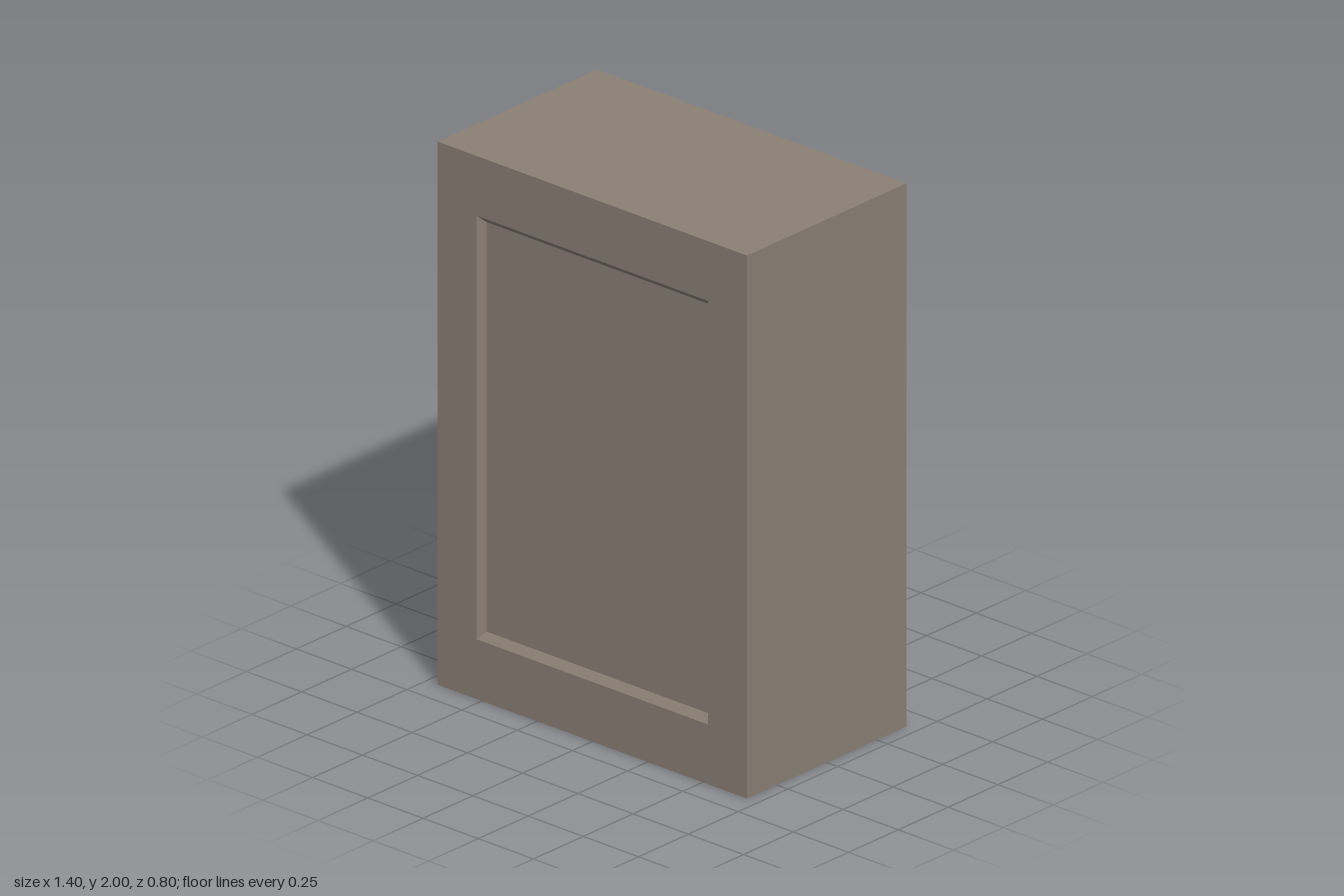
import * as THREE from 'three';

// Rectangle corners, counter-clockwise seen from the front
const rect = (halfW, y0, y1, z) => [
  [-halfW, y0, z], [halfW, y0, z], [halfW, y1, z], [-halfW, y1, z],
];

// Flat-faced bands joining successive rectangles
function loft(...loops) {
  const positions = [];
  const quad = (a, b, c, d) => positions.push(...a, ...b, ...c, ...a, ...c, ...d);
  for (let k = 0; k < loops.length - 1; k++) {
    const a = loops[k], b = loops[k + 1];
    for (let i = 0; i < 4; i++) {
      const j = (i + 1) % 4;
      quad(a[i], a[j], b[j], b[i]);
    }
  }
  const geometry = new THREE.BufferGeometry();
  geometry.setAttribute('position', new THREE.Float32BufferAttribute(positions, 3));
  geometry.computeVertexNormals();
  return geometry;
}

export function createModel() {
  const group = new THREE.Group();
  group.name = 'cabinet';
  const material = new THREE.MeshStandardMaterial({ color: 0x8a7f74 });
  const add = (name, geometry) => {
    const mesh = new THREE.Mesh(geometry, material);
    mesh.name = name;
    group.add(mesh);
    return mesh;
  };

  const back = rect(0.7, 0, 2, -0.4);
  const front = rect(0.7, 0, 2, 0.4);
  const recessRim = rect(0.524, 0.22, 1.78, 0.4);
  const recessFloor = rect(0.502, 0.247, 1.755, 0.375);

  // Four outer sides of the carcass
  add('carcassSides', loft(back, front));

  // Back board, facing -z
  const backBoard = add('backBoard', new THREE.PlaneGeometry(1.4, 2));
  backBoard.position.set(0, 1, -0.4);
  backBoard.rotation.y = Math.PI;

  // Door frame around the recess, then its sloping edge
  add('doorFrame', loft(front, recessRim));
  add('panelBevel', loft(recessRim, recessFloor));

  // Sunken door panel
  const panel = add('doorPanel', new THREE.PlaneGeometry(1.004, 1.508));
  panel.position.set(0, 1.001, 0.375);

  return group;
}
